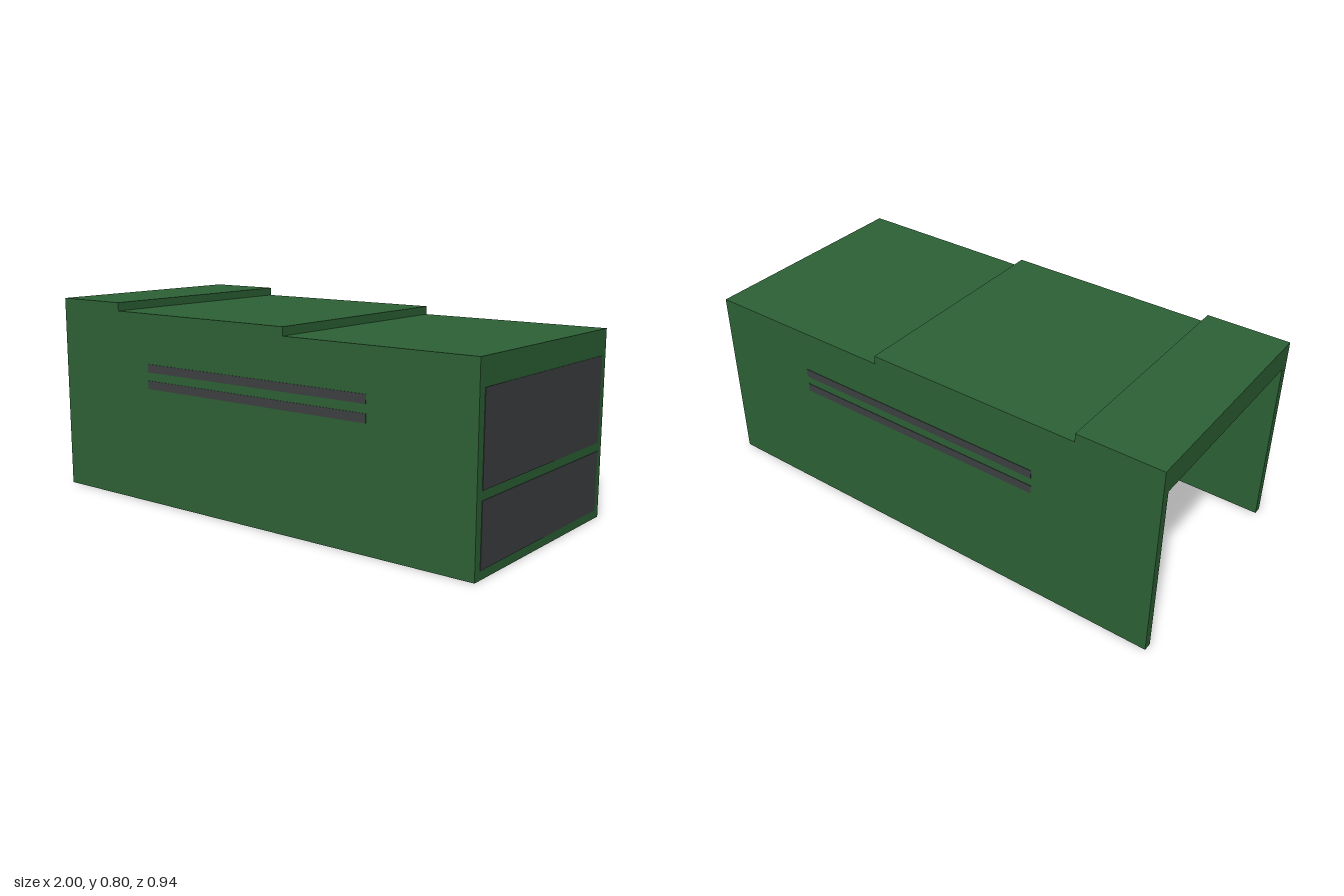
import * as THREE from 'three';

export function createModel() {
  const U = 1 / 30; // modelling unit; the shell is 60 x 24 x 28 units
  const green = new THREE.MeshStandardMaterial({ color: 0x2d6135 });
  green.name = 'green paint';
  const grey = new THREE.MeshStandardMaterial({ color: 0x3d4042 });
  grey.name = 'dark grey';
  const model = new THREE.Group();
  model.name = 'steppedCover';

  const add = (name, geometry, material) => {
    const mesh = new THREE.Mesh(geometry, material);
    mesh.name = name;
    model.add(mesh);
    return mesh;
  };
  // Box given by its limits in units
  const box = (name, [x0, x1], [y0, y1], [z0, z1], material) =>
    add(name, new THREE.BoxGeometry((x1 - x0) * U, (y1 - y0) * U, (z1 - z0) * U), material)
      .position.set((x0 + x1) / 2 * U, (y0 + y1) / 2 * U, (z0 + z1) / 2 * U);
  // Stepped side profile above a given floor, extruded along z
  const stepped = (name, x1, floor, z0, z1) => {
    const points = [[-30, floor], [x1, floor], [x1, 22], [6, 22], [6, 23], [-20, 23], [-20, 24], [-30, 24]];
    const shape = new THREE.Shape(points.map(([x, y]) => new THREE.Vector2(x * U, y * U)));
    const geometry = new THREE.ExtrudeGeometry(shape, { depth: (z1 - z0) * U, bevelEnabled: false });
    geometry.translate(0, 0, z0 * U);
    add(name, geometry, green);
  };

  // Shell: two side walls, stepped roof and closed end; open at the bottom and at -x
  stepped('leftWall', 30, 0, 13, 14);
  stepped('rightWall', 30, 0, -14, -13);
  stepped('roof', 30, 21, -13, 13);
  box('endWall', [26, 30], [0, 21], [-13, 13], green);

  // Slots that show on both faces of each side wall
  const e = 0.06;
  for (const side of [-1, 1]) {
    for (const y of [14, 16]) {
      box('sideSlot', [-15, 17], [y, y + 1], [side * 13.5 - 0.5 - e, side * 13.5 + 0.5 + e], grey);
    }
  }

  // Panels on the closed end
  box('lowerEndPanel', [30 - e, 30 + e], [1, 8], [-13, 13], grey);
  box('upperEndPanel', [30 - e, 30 + e], [9, 19], [-13, 13], grey);

  return model;
}
